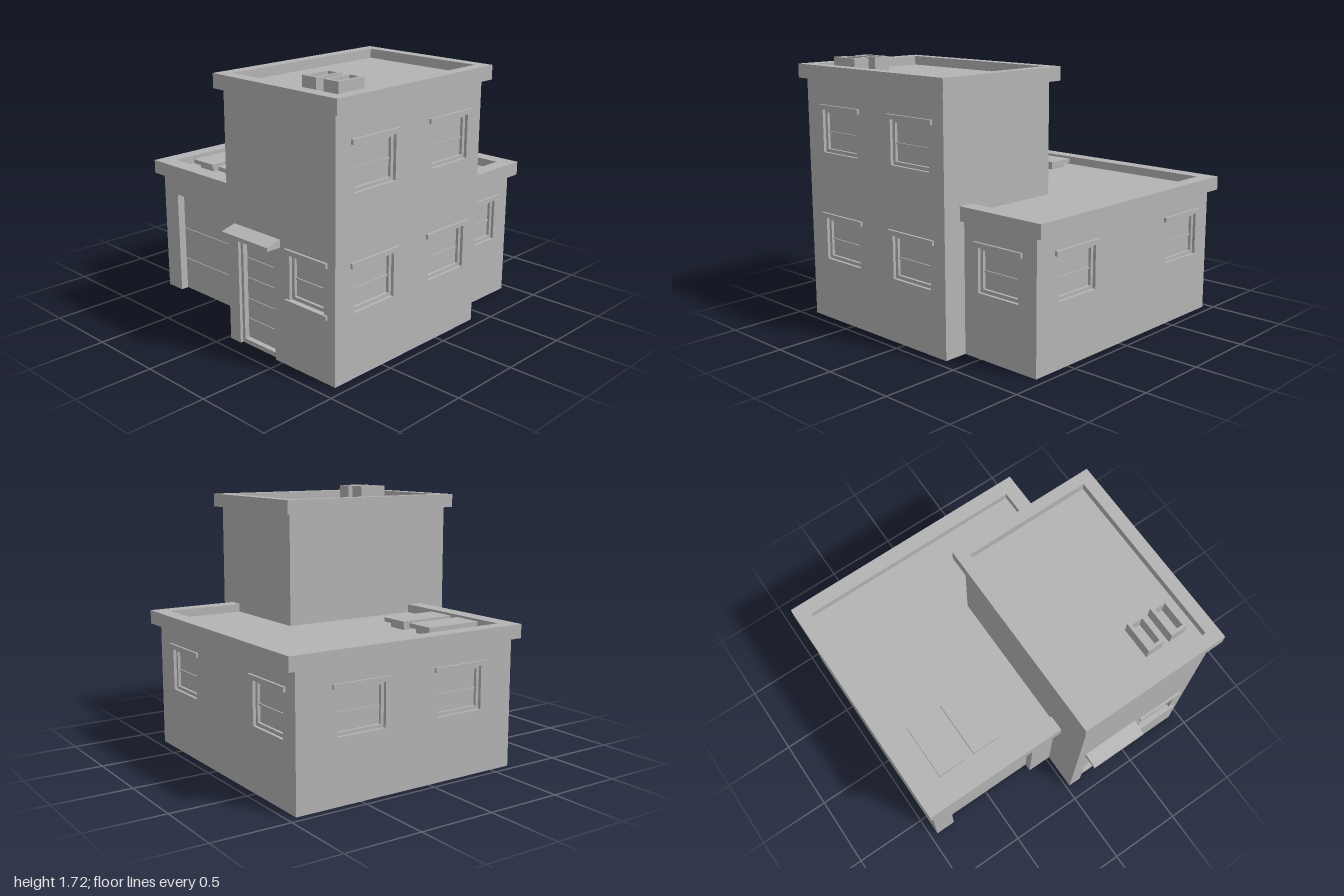
import * as THREE from 'three';

const plaster = new THREE.MeshStandardMaterial({ color: 0xb4b4b4, side: THREE.DoubleSide });
plaster.name = 'grey plaster';

function add(parent, name, geometry, x = 0, y = 0, z = 0) {
  const m = new THREE.Mesh(geometry, plaster);
  m.name = name;
  m.position.set(x, y, z);
  parent.add(m);
  return m;
}

// Box given by its low and high corners
function box(parent, name, [x0, y0, z0], [x1, y1, z1]) {
  return add(parent, name, new THREE.BoxGeometry(x1 - x0, y1 - y0, z1 - z0),
    (x0 + x1) / 2, (y0 + y1) / 2, (z0 + z1) / 2);
}

const poly = (pts) => new THREE.Shape(pts.map(([x, y]) => new THREE.Vector2(x, y)));
const rect = (x0, y0, x1, y1) => poly([[x0, y0], [x1, y0], [x1, y1], [x0, y1]]);
const extrude = (shape, depth) => new THREE.ExtrudeGeometry(shape, { depth, bevelEnabled: false });

// Rectangular ring in the xy plane, reaching from z0 to z1
function ring(parent, name, [x0, y0, x1, y1], t, z0, z1) {
  const s = rect(x0, y0, x1, y1);
  s.holes.push(rect(x0 + t, y0 + t, x1 - t, y1 - t));
  return add(parent, name, extrude(s, z1 - z0), 0, 0, z0);
}

// Plan outline in x and z, extruded down from the given top
function plan(parent, name, shape, top, depth) {
  return add(parent, name, extrude(shape, depth).rotateX(Math.PI / 2), 0, top, 0);
}

// Recessed window: reveal, frame, pane, middle rail and projecting head
function windowUnit(wall, [x0, y0, x1, y1], sill) {
  const g = new THREE.Group();
  g.name = 'window';
  const e = 0.003;
  ring(g, 'windowReveal', [x0 - e, y0 - e, x1 + e, y1 + e], e, -0.045, 0);
  ring(g, 'windowFrame', [x0, y0, x1, y1], 0.022, -0.045, -0.02);
  box(g, 'windowPane', [x0, y0, -0.045], [x1, y1, -0.038]);
  const mid = (y0 + y1) / 2 - 0.01;
  box(g, 'windowRail', [x0 + 0.022, mid - 0.006, -0.04], [x1 - 0.022, mid + 0.006, -0.03]);
  box(g, 'windowHead', [x0 - 0.03, y1, -0.01], [x1 + 0.03, y1 + 0.03, 0.016]);
  if (sill) box(g, 'windowSill', [x0 - 0.03, y0 - 0.027, -0.01], [x1 + 0.03, y0, 0.016]);
  wall.add(g);
}

// Recessed door made of stacked panels
function door(wall, name, [x0, y0, x1, y1], joints, depth) {
  const e = 0.003, g = new THREE.Group();
  g.name = name;
  box(g, 'doorHeadReveal', [x0, y1, -depth], [x1, y1 + e, 0]);
  box(g, 'doorSideReveal', [x0 - e, y0, -depth], [x0, y1, 0]);
  box(g, 'doorSideReveal', [x1, y0, -depth], [x1 + e, y1, 0]);
  box(g, 'doorBacking', [x0, y0, -depth - 0.01], [x1, y1, -depth]);
  const ys = [y0, ...joints, y1];
  for (let i = 0; i < ys.length - 1; i++) {
    box(g, 'doorPanel', [x0, ys[i] + 0.002, -depth], [x1, ys[i + 1] - 0.002, -depth + 0.008]);
  }
  wall.add(g);
  return g;
}

// Wall in local x and y, facing local +z, with openings cut out
function makeWall(parent, name, angle, [x, z], [a, b], height, openings) {
  const g = new THREE.Group();
  g.name = name;
  g.rotation.y = angle;
  g.position.set(x, 0, z);
  const s = rect(a, 0, b, height);
  for (const [x0, y0, x1, y1] of openings) s.holes.push(rect(x0, y0, x1, y1));
  add(g, name + 'Face', new THREE.ShapeGeometry(s));
  parent.add(g);
  return g;
}

// Opening of the standard window around a centre
const opening = (c, y0, w = 0.34) => [c - w / 2, y0, c + w / 2, y0 + 0.28];

function windowWall(parent, name, angle, pos, span, height, openings) {
  const wall = makeWall(parent, name, angle, pos, span, height, openings);
  openings.forEach((o) => windowUnit(wall, o, false));
  return wall;
}

export function createModel() {
  const house = new THREE.Group();
  house.name = 'house';
  const Q = Math.PI / 2;

  // Tower walls
  const tower = new THREE.Group();
  tower.name = 'tower';
  house.add(tower);
  const T = 1.6;
  const doorHole = [0.118, 0, 0.44, 0.71], frontHole = [0.567, 0.425, 0.845, 0.708];
  const front = makeWall(tower, 'towerFront', 0, [0, 0.9], [0.025, 0.933], T, [doorHole, frontHole]);
  windowUnit(front, frontHole, true);
  windowWall(tower, 'towerRight', Q, [0.933, 0], [-0.9, 0.373], T,
    [opening(-0.58, 0.41), opening(0.08, 0.41), opening(-0.58, 1.12), opening(0.08, 1.12)]);
  makeWall(tower, 'towerBack', 2 * Q, [0, -0.373], [-0.933, -0.025], T, []);
  makeWall(tower, 'towerLeft', -Q, [0.025, 0], [-0.373, 0.9], T, []);

  // Entrance door with frame and sloping canopy
  const entry = door(front, 'entranceDoor', doorHole, [0.03, 0.16, 0.293, 0.43, 0.56, 0.69], 0.06);
  box(entry, 'doorFrameTop', [0.118, 0.695, -0.06], [0.44, 0.71, -0.02]);
  box(entry, 'doorThreshold', [0.118, 0, -0.06], [0.44, 0.03, -0.02]);
  box(entry, 'doorFrameSide', [0.118, 0.03, -0.06], [0.14, 0.695, -0.02]);
  box(entry, 'doorFrameSide', [0.415, 0.03, -0.06], [0.44, 0.695, -0.02]);
  box(front, 'canopyLedge', [0.118, 0.708, 0], [0.44, 0.73, 0.015]);
  const canopy = extrude(poly([[0, 0.728], [0.1, 0.728], [0.1, 0.752], [0, 0.778]]), 0.4);
  add(front, 'canopy', canopy.rotateY(-Q), 0.49, 0, 0).geometry.scale(-1, 1, -1).rotateY(0);
  front.children[front.children.length - 1].position.x = 0.09;
  front.children[front.children.length - 1].geometry = extrude(
    poly([[0, 0.728], [-0.1, 0.728], [-0.1, 0.752], [0, 0.778]]), 0.4).rotateY(Q);

  // Tower roof with parapet
  const rim = rect(-0.028, -0.42, 0.975, 0.933);
  rim.holes.push(rect(0.05, -0.345, 0.895, 0.85));
  plan(tower, 'towerParapet', rim, 1.68, 0.09);
  plan(tower, 'towerRoofDeck', rect(0.04, -0.355, 0.905, 0.86), 1.62, 0.015);

  // Hollow vents
  for (const x of [0.54, 0.707]) {
    const s = rect(x, 0.555, x + 0.112, 0.762);
    s.holes.push(rect(x + 0.02, 0.577, x + 0.092, 0.742));
    plan(tower, 'roofVent', s, 1.723, 0.105);
  }

  // Garage wing walls
  const wing = new THREE.Group();
  wing.name = 'garageWing';
  house.add(wing);
  const H = 0.84;
  const garageHole = [-0.81, 0, -0.147, 0.698];
  const garage = makeWall(wing, 'wingFront', 0, [0, 0.645], [-0.95, 0.025], H, [garageHole]);
  door(garage, 'garageDoor', garageHole, [0.225, 0.447], 0.06);
  windowWall(wing, 'wingRight', Q, [0.775, 0], [0.373, 0.942], H, [opening(0.645, 0.41, 0.32)]);
  windowWall(wing, 'wingBack', 2 * Q, [0, -0.942], [-0.775, 0.95], H,
    [opening(-0.42, 0.41), opening(0.65, 0.41)]);
  windowWall(wing, 'wingLeft', -Q, [-0.95, 0], [-0.942, 0.645], H,
    [opening(-0.5, 0.41), opening(0.23, 0.41)]);

  // Wing roof wrapping around the tower
  plan(wing, 'wingParapet', poly([[0.81, -0.373], [0.81, -1], [-0.98, -1], [-0.98, 0.7], [0.025, 0.7],
    [0.025, 0.592], [-0.88, 0.592], [-0.88, -0.9], [0.71, -0.9], [0.71, -0.373]]), 0.92, 0.09);
  plan(wing, 'wingRoofDeck', poly([[-0.89, -0.91], [0.72, -0.91], [0.72, -0.373], [0.025, -0.373],
    [0.025, 0.6], [-0.89, 0.6]]), 0.865, 0.015);

  // Skylights on smaller curbs
  for (const x of [-0.785, -0.525]) {
    box(wing, 'skylightCurb', [x + 0.03, 0.86, 0.15], [x + 0.165, 0.9, 0.48]);
    box(wing, 'skylightLid', [x, 0.898, 0.122], [x + 0.195, 0.926, 0.512]);
  }
  return house;
}
